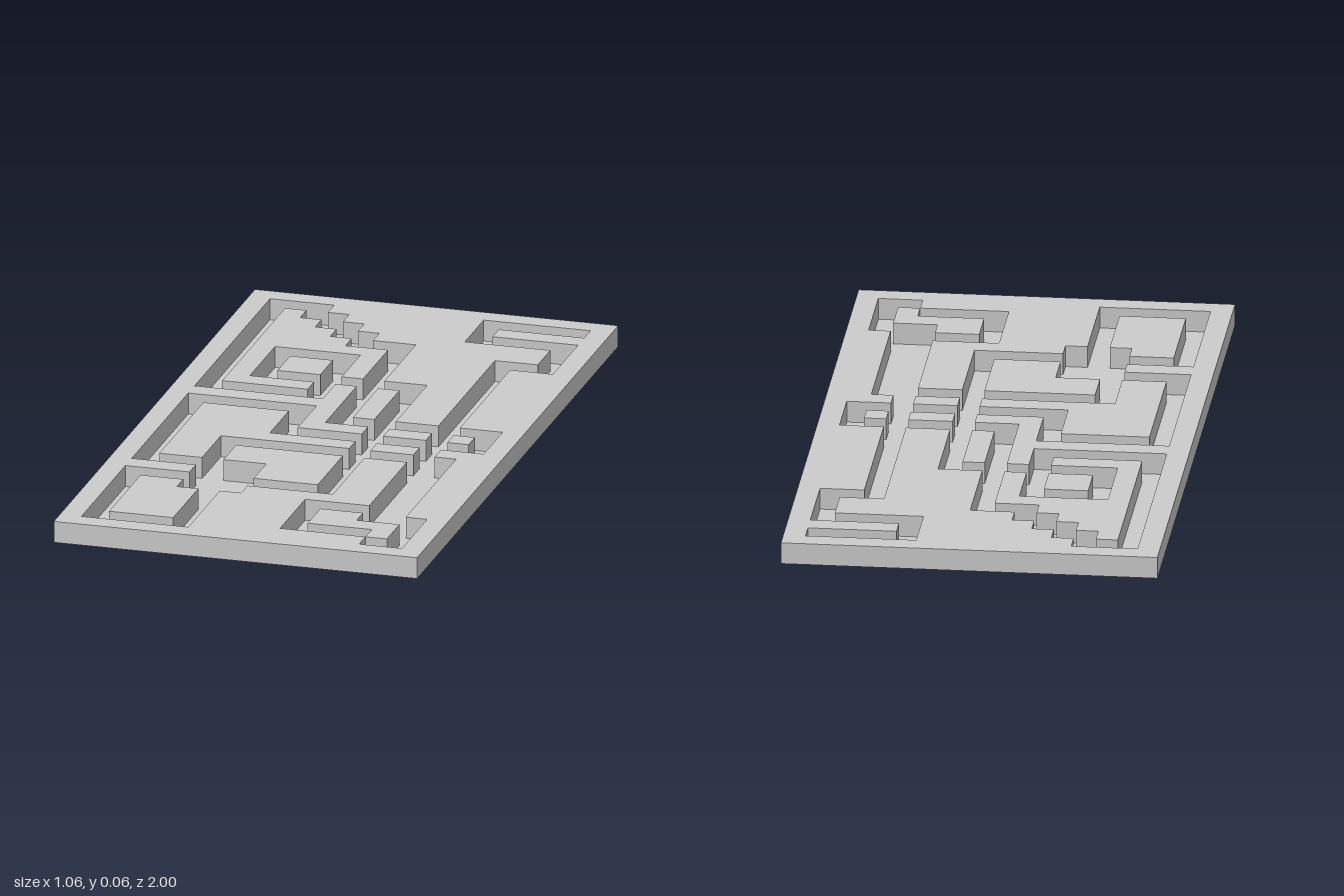
import * as THREE from 'three';

const CELL = 1 / 16, COLS = 17, ROWS = 32, HEIGHT = CELL;

// Right-angled outlines on a 17 x 32 cell grid: each column, then the row the path turns to.
const OUTER = [0, 0, COLS, ROWS];
const CHANNEL = [
  1, 1, 4, 2, 5, 3, 6, 4, 7, 5, 9, 10, 11, 15, 13, 6, 15, 4, 11, 1, 16, 2, 12, 3,
  16, 7, 14, 15, 16, 18, 14, 19, 15, 27, 16, 31, 14, 30, 10, 26, 13, 20, 11, 25,
  7, 26, 6, 31, 1, 24, 4, 23, 1, 14, 7, 17, 10, 16, 8, 11, 7, 13,
];
const ISLANDS = [
  [2, 2, 3, 3, 4, 4, 5, 5, 6, 6, 8, 10, 7, 7, 3, 11, 6, 12],
  [4, 8, 6, 10],
  [9, 11, 10, 15],
  [2, 15, 6, 18, 10, 19, 4, 22],
  [5, 20, 10, 24, 7, 22],
  [2, 25, 4, 26, 5, 30],
  [11, 27, 13, 28, 15, 30, 14, 29],
  [11, 16, 13, 17],
  [14, 16, 15, 17],
  [11, 18, 13, 19],
];

const material = new THREE.MeshStandardMaterial({
  color: 0xcccccc, flatShading: true, side: THREE.DoubleSide,
});

// Corner points of an outline, clockwise from above; y holds -z.
function corners(path) {
  const points = [];
  const add = (c, r) => points.push(new THREE.Vector2((c - COLS / 2) * CELL, (ROWS / 2 - r) * CELL));
  for (let i = 0; i < path.length; i += 2) {
    add(path[i], path[(i + path.length - 1) % path.length]);
    add(path[i], path[i + 1]);
  }
  return points;
}

// Flat horizontal sheet with optional openings.
function sheet(name, path, holes, y) {
  const shape = new THREE.Shape(corners(path));
  shape.holes = holes.map((hole) => new THREE.Path(corners(hole)));
  const geometry = new THREE.ShapeGeometry(shape);
  geometry.rotateX(-Math.PI / 2).translate(0, y, 0);
  const mesh = new THREE.Mesh(geometry, material);
  mesh.name = name;
  return mesh;
}

// Upright wall along an outline, facing into it or out of it.
function wall(name, path, inward) {
  const points = corners(path);
  if (!inward) points.reverse();
  const positions = [];
  points.forEach((p, i) => {
    const q = points[(i + 1) % points.length];
    const a = [p.x, 0, -p.y], b = [q.x, 0, -q.y];
    const c = [q.x, HEIGHT, -q.y], d = [p.x, HEIGHT, -p.y];
    positions.push(...a, ...b, ...c, ...a, ...c, ...d);
  });
  const geometry = new THREE.BufferGeometry();
  geometry.setAttribute('position', new THREE.Float32BufferAttribute(positions, 3));
  geometry.computeVertexNormals();
  const mesh = new THREE.Mesh(geometry, material);
  mesh.name = name;
  return mesh;
}

export function createModel() {
  const model = new THREE.Group();
  model.name = 'mazePlate';

  // Plate top and rim, open underneath
  model.add(sheet('plateTop', OUTER, [CHANNEL], HEIGHT));
  model.add(wall('plateSides', OUTER, false));

  // Sunken maze path
  model.add(sheet('channelFloor', CHANNEL, ISLANDS, 0));
  model.add(wall('channelWalls', CHANNEL, true));

  // Raised blocks standing inside the path
  ISLANDS.forEach((path, i) => {
    const island = new THREE.Group();
    island.name = `island${i + 1}`;
    island.add(sheet('islandTop', path, [], HEIGHT), wall('islandSides', path, false));
    model.add(island);
  });

  return model;
}
